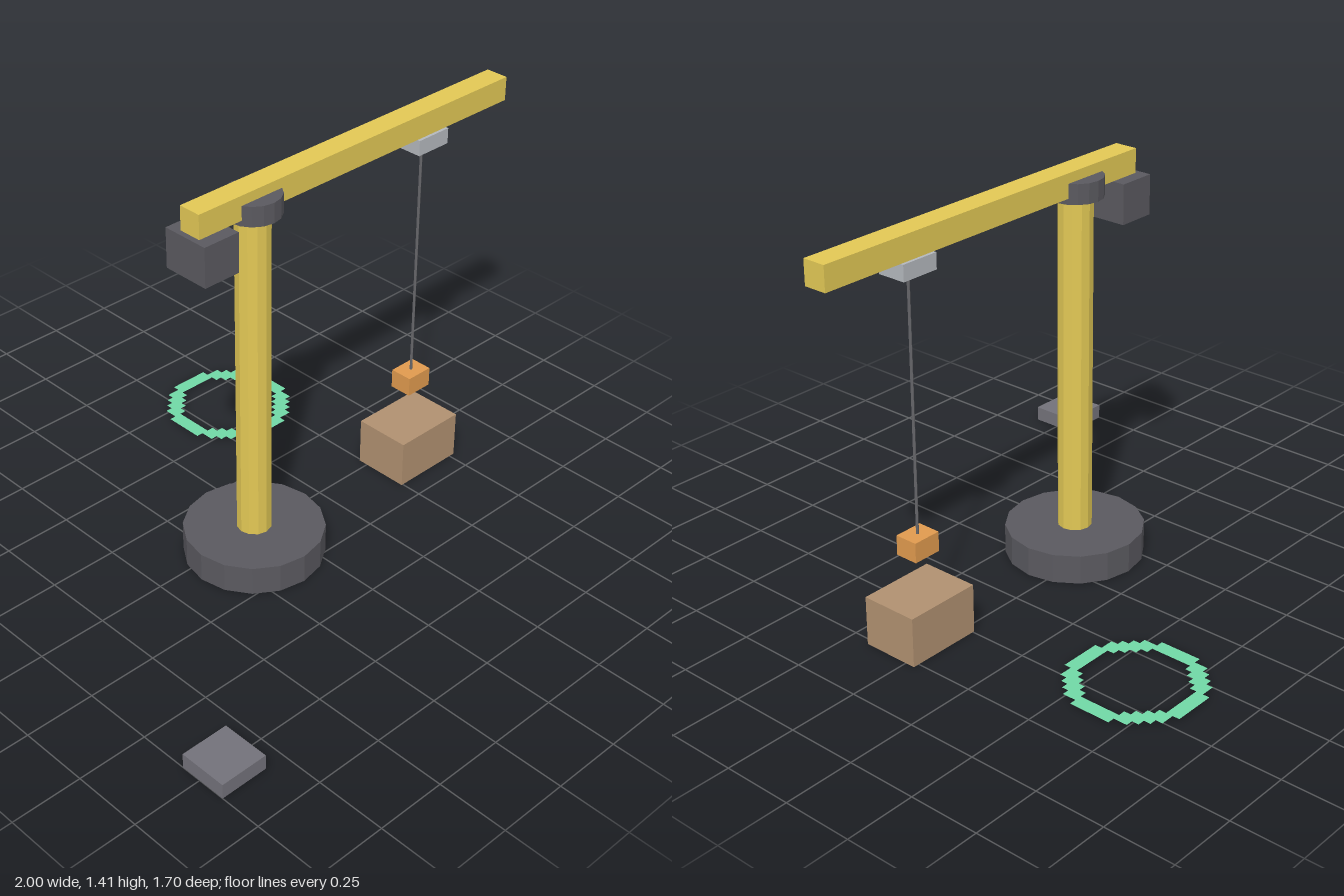
import * as THREE from 'three';
import { mergeGeometries } from 'three/addons/utils/BufferGeometryUtils.js';

const AXIS_Z = 0.068; // the crane's centre line
const MAST_X = -0.133;
const HOOK_X = 0.633;

function mat(color, side = THREE.FrontSide) {
  const m = new THREE.MeshStandardMaterial({ color, side, flatShading: true });
  return m;
}

export function createModel() {
  const group = new THREE.Group();
  const yellow = mat(0xe2c855);
  const dark = mat(0x5a595f);
  const slate = mat(0x73727a);
  const silver = mat(0xb4b8bd);
  const orange = mat(0xe09a4e);
  const tan = mat(0xb09070);
  const steel = mat(0x66666a);
  const green = mat(0x70d8a6, THREE.DoubleSide);

  const add = (name, geometry, material, x, y, z) => {
    const mesh = new THREE.Mesh(geometry, material);
    mesh.name = name;
    mesh.position.set(x, y, z);
    group.add(mesh);
    return mesh;
  };
  // Box and cylinder placed by their bottom and top heights
  const box = (name, material, w, d, y0, y1, x, z = AXIS_Z) =>
    add(name, new THREE.BoxGeometry(w, y1 - y0, d), material, x, (y0 + y1) / 2, z);
  const cylinder = (name, material, r, sides, y0, y1, x, z = AXIS_Z) =>
    add(name, new THREE.CylinderGeometry(r, r, y1 - y0, sides), material, x, (y0 + y1) / 2, z);

  // Tower
  cylinder('base', dark, 0.243, 16, 0, 0.105, MAST_X);
  cylinder('mast', yellow, 0.06, 12, 0.105, 1.31, MAST_X);
  cylinder('slewRing', dark, 0.095, 16, 1.305, 1.375, MAST_X);

  // Arm with counterweight and trolley
  box('jib', yellow, 1.39, 0.083, 1.325, 1.41, 0.305);
  box('counterweight', dark, 0.138, 0.174, 1.185, 1.325, -0.341);
  box('trolley', silver, 0.138, 0.104, 1.27, 1.325, HOOK_X);

  // Hoist and load
  cylinder('rope', steel, 0.005, 6, 0.385, 1.27, HOOK_X);
  box('hookBlock', orange, 0.104, 0.083, 0.315, 0.385, HOOK_X);
  box('crate', tan, 0.278, 0.208, 0, 0.175, HOOK_X);

  // Small block on the ground
  box('groundBlock', slate, 0.174, 0.174, 0, 0.054, -0.913, 0.763);

  // Flat target ring with a stepped outline, made of square cells
  const n = 9;
  const cell = 0.2275 / n;
  const cells = [];
  for (let i = -n; i < n; i++) {
    for (let j = -n; j < n; j++) {
      const r = Math.hypot(i + 0.5, j + 0.5);
      if (r > n + 0.1 || r < n - 2) continue;
      const g = new THREE.PlaneGeometry(cell, cell);
      g.rotateX(-Math.PI / 2);
      g.translate((i + 0.5) * cell, 0, (j + 0.5) * cell);
      cells.push(g);
    }
  }
  add('targetRing', mergeGeometries(cells), green, 0.388, 0.01, -0.625);

  return group;
}
